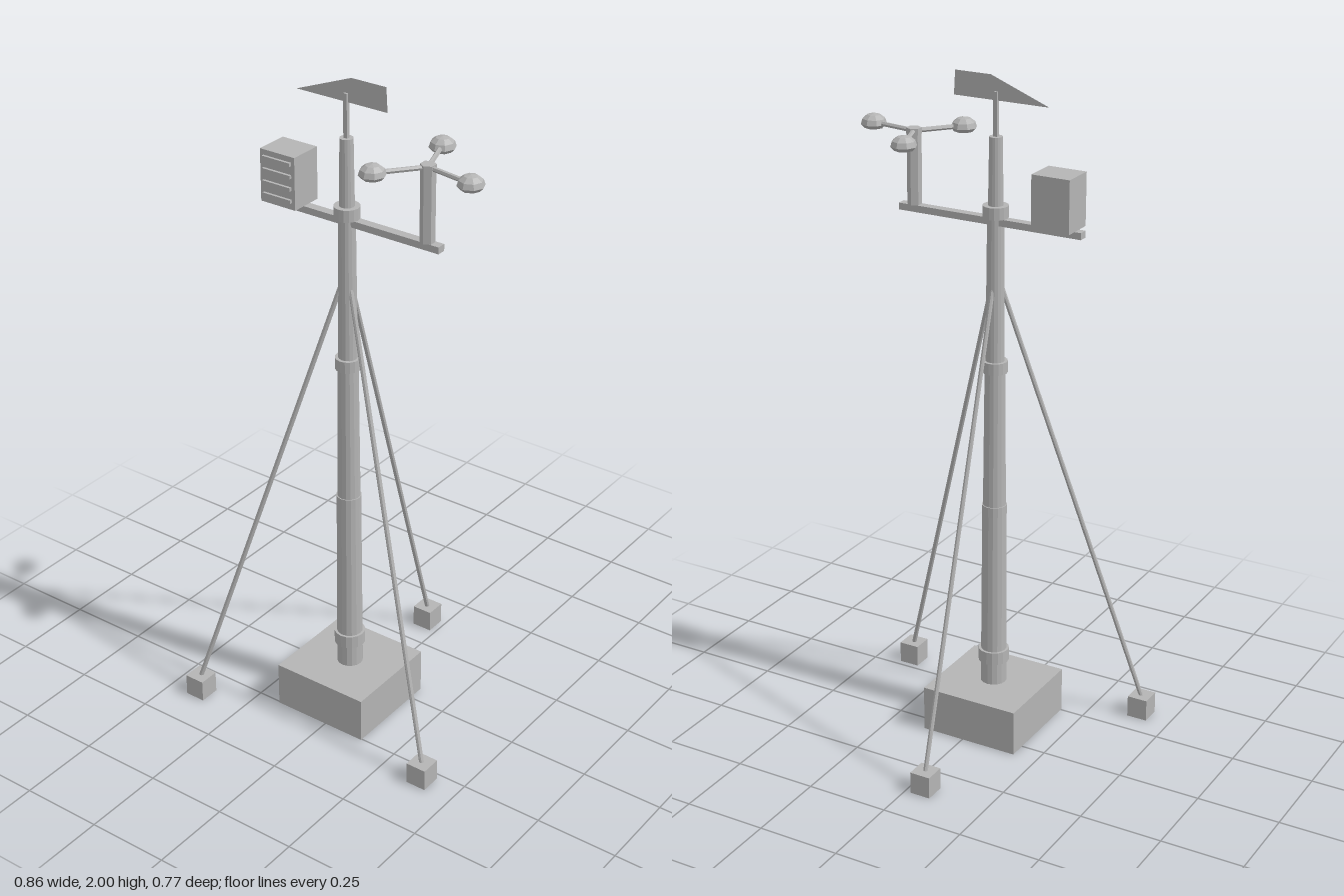
import * as THREE from 'three';

const MX = -0.021, MZ = 0.1; // mast axis

export function createModel() {
  const root = new THREE.Group();
  root.name = 'weatherStation';
  const grey = new THREE.MeshStandardMaterial({ color: 0xb4b4b4, flatShading: true, side: THREE.DoubleSide });
  grey.name = 'galvanised grey';

  const add = (name, geo, x = 0, y = 0, z = 0, parent = root) => {
    const m = new THREE.Mesh(geo, grey);
    m.name = name;
    m.position.set(x, y, z);
    parent.add(m);
    return m;
  };
  const box = (name, w, h, d, x, y, z, parent) => add(name, new THREE.BoxGeometry(w, h, d), x, y, z, parent);
  const cyl = (name, rTop, rBottom, y0, y1, x = MX, z = MZ, sides = 16) =>
    add(name, new THREE.CylinderGeometry(rTop, rBottom, y1 - y0, sides), x, (y0 + y1) / 2, z);
  // Round bar between two points
  const bar = (name, a, b, r, sides = 8) => {
    const dir = b.clone().sub(a);
    const m = add(name, new THREE.CylinderGeometry(r, r, dir.length(), sides));
    m.position.copy(a).add(b).multiplyScalar(0.5);
    m.quaternion.setFromUnitVectors(new THREE.Vector3(0, 1, 0), dir.normalize());
    return m;
  };

  // Foundation block
  box('foundation', 0.308, 0.14, 0.308, MX, 0.07, MZ);

  // Telescoping mast and its clamp collars
  cyl('mastLower', 0.036, 0.039, 0.14, 0.71);
  cyl('mastMiddle', 0.03, 0.034, 0.71, 1.155);
  cyl('mastUpper', 0.024, 0.028, 1.155, 1.61);
  cyl('mastTop', 0.019, 0.022, 1.61, 1.83);
  [[0.21, 0.25, 0.046], [0.695, 0.725, 0.037], [1.14, 1.175, 0.037], [1.6, 1.635, 0.037]]
    .forEach(([y0, y1, r]) => cyl('collar', r, r, y0, y1));

  // Guy wires and ground anchors
  [[-0.4, 0.352], [0.384, 0.3], [-0.05, -0.353]].forEach(([x, z]) => {
    box('anchor', 0.063, 0.067, 0.063, x, 0.0335, z);
    const out = new THREE.Vector2(x - MX, z - MZ).normalize().multiplyScalar(0.018);
    bar('guyWire', new THREE.Vector3(MX + out.x, 1.395, MZ + out.y), new THREE.Vector3(x, 0.06, z), 0.007);
  });

  // Cross arm
  box('crossArm', 0.58, 0.02, 0.027, -0.005, 1.59, 0.098);

  // Louvred instrument box
  const shelter = new THREE.Group();
  shelter.name = 'instrumentBox';
  root.add(shelter);
  box('housing', 0.117, 0.154, 0.1, -0.217, 1.677, 0.1, shelter);
  for (let i = 0; i < 4; i++) box('louvre', 0.095, 0.01, 0.012, -0.217, 1.625 + i * 0.036, 0.152, shelter);

  // Anemometer: post, hub, arms and domed cups
  const hub = new THREE.Vector3(0.241, 1.812, 0.099);
  cyl('anemometerPost', 0.021, 0.021, 1.6, 1.805, hub.x, hub.z, 6);
  cyl('anemometerHub', 0.022, 0.022, 1.803, 1.821, hub.x, hub.z, 6);
  const cupProfile = [[0, -0.015], [0.028, -0.015], [0.038, -0.004], [0.033, 0.011], [0.019, 0.022], [0, 0.026]]
    .map(([r, y]) => new THREE.Vector2(r, y));
  [[0.188, -0.043], [0.389, 0.123], [0.147, 0.215]].forEach(([x, z]) => {
    const tip = new THREE.Vector3(x, hub.y, z);
    bar('cupArm', hub, tip, 0.007, 6);
    add('cup', new THREE.LatheGeometry(cupProfile, 8), tip.x, tip.y, tip.z);
  });

  // Wind vane: square spindle and sheet fin
  box('vaneSpindle', 0.012, 0.13, 0.012, MX, 1.89, MZ);
  const fin = new THREE.Shape([[-0.185, 1.93], [0.112, 1.93], [0.108, 2], [-0.004, 2]]
    .map(([x, y]) => new THREE.Vector2(x, y)));
  add('vaneFin', new THREE.ShapeGeometry(fin), 0, 0, MZ);

  return root;
}
